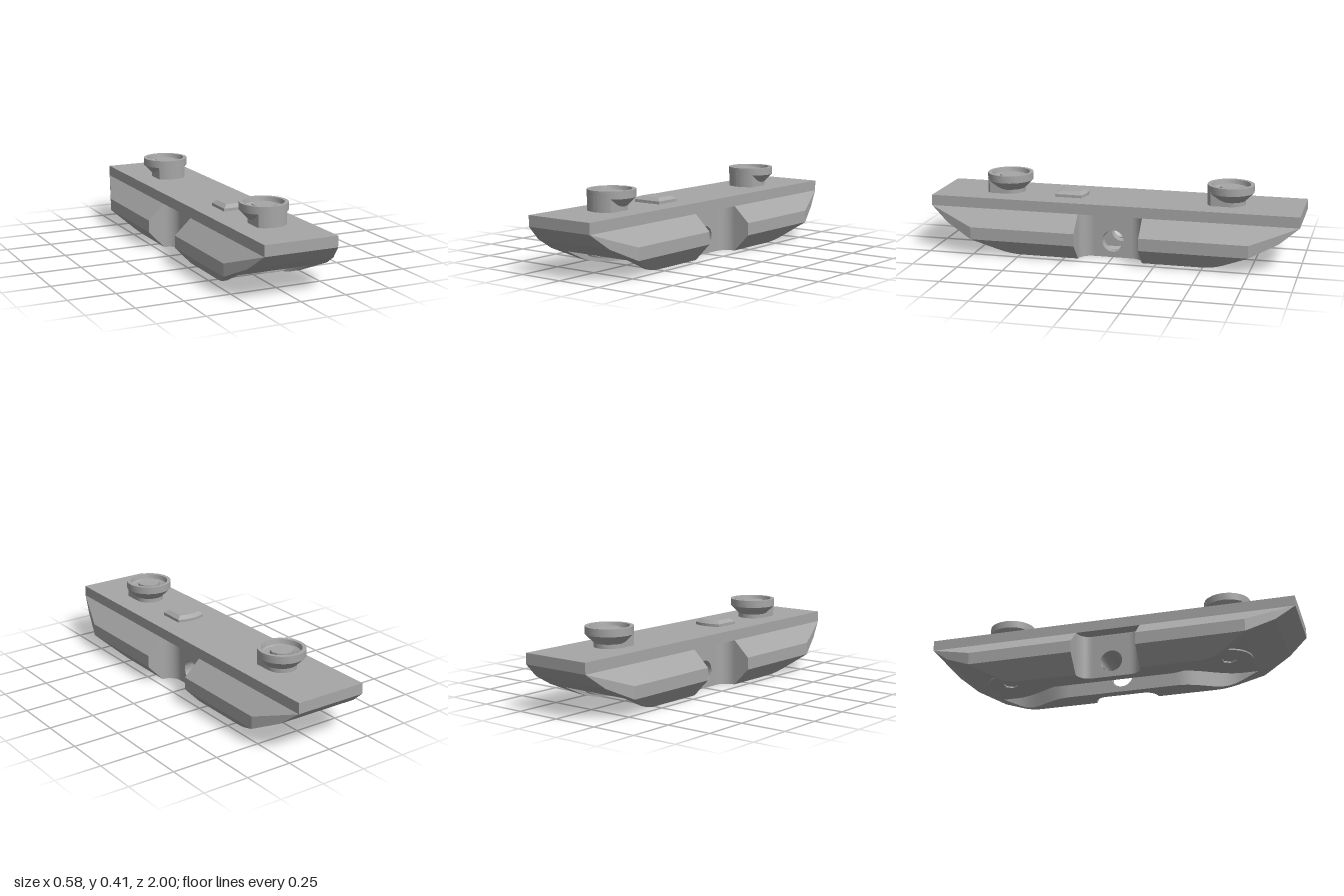
import * as THREE from 'three';
import { toCreasedNormals } from 'three/addons/utils/BufferGeometryUtils.js';

const grey = new THREE.MeshStandardMaterial({ color: 0xa6a6a6 });
grey.name = 'grey metal';

const CEIL = 0.083; // underside channel ceiling
const TOP = 0.303;  // top of the deck
const LEG = 0.13;   // outer face of the waist

function mesh(name, geometry, crease = 0.2) {
  const m = new THREE.Mesh(toCreasedNormals(geometry, crease), grey);
  m.name = name;
  return m;
}

// Height of the underside, rising towards the end
function bottomAt(z) {
  if (z >= 0.9) return 0.165 + (z - 0.9) * 0.8;
  if (z >= 0.62) return 0.165 - (0.9 - z) * 0.48;
  return z > 0.4925 ? 0.48 * (z - 0.4925) ** 2 / 0.255 : 0;
}

// Half width of the wavy channel
function channelAt(z) {
  const t = THREE.MathUtils.clamp((z - 0.3) / 0.35, 0, 1);
  return 0.08 + 0.12 * (0.5 - 0.5 * Math.cos(Math.PI * t));
}

// Closed cross-section at z, limited to half width `limit`
function section(z, limit) {
  const t = Math.min(limit, 0.29, 0.2 + (1 - z) * 0.36);
  const b = bottomAt(z);
  const c = Math.max(b, CEIL);
  const w = channelAt(z);
  const over = Math.max(0, t - 0.2);
  const half = [
    [w, c], [w, b],
    [Math.min(0.2 + b * 0.968, t), b],
    [t, Math.max(b, over * 1.033)],
    [t, 0.245 - over * 0.944],
    [Math.min(0.2, t), 0.245],
  ];
  const mirrored = half.map(([x, y]) => [-x, y]).reverse();
  return [...half, ...mirrored].map(([x, y]) => new THREE.Vector3(x, y, z));
}

// Skin between successive cross-sections, leaving out collapsed faces
function loft(rings) {
  const points = [];
  const tri = new THREE.Triangle();
  const add = (a, b, c) => {
    if (tri.set(a, b, c).getArea() > 1e-8) points.push(a, b, c);
  };
  for (let r = 0; r < rings.length - 1; r++) {
    const p = rings[r], q = rings[r + 1], n = p.length;
    for (let i = 0; i < n; i++) {
      const j = (i + 1) % n;
      add(p[i], p[j], q[j]);
      add(p[i], q[j], q[i]);
    }
  }
  return new THREE.BufferGeometry().setFromPoints(points);
}

function endBlockGeometry() {
  const rings = [];
  // Rounded corner of the side notch
  for (let i = 0; i <= 10; i++) {
    const a = (i / 10) * Math.PI / 2;
    rings.push(section(0.105 + 0.07 * Math.sin(a), LEG + 0.07 * (1 - Math.cos(a))));
  }
  // Full-width block, then the tapering nose
  const stops = [0.175, 0.3];
  for (let i = 1; i <= 18; i++) stops.push(0.3 + 0.35 * i / 18);
  stops.push(0.7, 0.7292, 0.75, 0.9, 1);
  stops.forEach((z) => rings.push(section(z, 1)));
  return loft(rings);
}

// Extrude a (z, y) outline along x, centred at x
function acrossX(shape, width, x) {
  const g = new THREE.ExtrudeGeometry(shape, { depth: width, bevelEnabled: false, curveSegments: 24 });
  return g.translate(0, 0, -width / 2).rotateY(Math.PI / 2).translate(x, 0, 0);
}

function createWaist() {
  const waist = new THREE.Group();
  waist.name = 'waist';
  // Two cheeks with a cross hole
  const cheek = new THREE.Shape();
  cheek.moveTo(-0.105, 0).lineTo(0.105, 0).lineTo(0.105, 0.245).lineTo(-0.105, 0.245);
  cheek.holes.push(new THREE.Path().absarc(0, 0.09, 0.06, 0, Math.PI * 2, true));
  for (const s of [1, -1]) {
    waist.add(mesh('cheek', acrossX(cheek, LEG - 0.08, s * (LEG + 0.08) / 2), 0.4));
  }
  // Bridge over the channel, arched where the hole passes
  const bridge = new THREE.Shape();
  bridge.moveTo(-0.105, CEIL).lineTo(-0.06, CEIL);
  bridge.absarc(0, 0.09, 0.06, Math.PI, 0, true);
  bridge.lineTo(0.06, CEIL).lineTo(0.105, CEIL).lineTo(0.105, 0.245).lineTo(-0.105, 0.245);
  waist.add(mesh('bridge', acrossX(bridge, 0.16, 0), 0.4));
  return waist;
}

function createFastener() {
  const fastener = new THREE.Group();
  fastener.name = 'fastener';
  // Flared nut with a countersunk cup
  const profile = [
    [0.08, TOP - 0.003], [0.08, 0.325], [0.125, 0.37], [0.125, 0.41],
    [0.105, 0.41], [0.1, 0.385], [0.06, 0.36], [0, 0.36],
  ].map(([x, y]) => new THREE.Vector2(x, y));
  fastener.add(mesh('nut', new THREE.LatheGeometry(profile, 24), 0.4));

  // Screw end in the cup
  const stud = mesh('screwEnd', new THREE.CylinderGeometry(0.06, 0.06, 0.05, 12), 0.4);
  stud.position.y = 0.373;
  fastener.add(stud);

  // Solid lug under the front of the flange
  const a = Math.acos(0.08 / 0.125);
  const lugShape = new THREE.Shape();
  lugShape.moveTo(-0.08, 0).lineTo(0.08, 0);
  lugShape.absarc(0, 0, 0.1249, a, Math.PI - a, false);
  const lugGeo = new THREE.ExtrudeGeometry(lugShape, { depth: 0.08, bevelEnabled: false, curveSegments: 12 });
  const lug = mesh('lug', lugGeo.rotateX(Math.PI / 2), 0.4);
  lug.position.y = 0.38;
  fastener.add(lug);

  // Screw head with hex socket in the channel
  const disc = new THREE.Shape().absarc(0, 0, 0.125, 0, Math.PI * 2, false);
  const hex = new THREE.Path();
  for (let i = 0; i < 6; i++) {
    const t = -i * Math.PI / 3;
    const x = 0.04 * Math.cos(t), y = 0.04 * Math.sin(t);
    if (i) hex.lineTo(x, y); else hex.moveTo(x, y);
  }
  hex.closePath();
  disc.holes.push(hex);
  const headGeo = new THREE.ExtrudeGeometry(disc, { depth: 0.008, bevelEnabled: false, curveSegments: 16 });
  const head = mesh('screwHead', headGeo.rotateX(Math.PI / 2), 0.4);
  head.position.y = CEIL;
  fastener.add(head);
  return fastener;
}

// Chamfered locating pad with a bowed rear edge
function createPad() {
  const shape = new THREE.Shape();
  shape.moveTo(-0.06, -0.312).lineTo(0.06, -0.312).lineTo(0.06, -0.205);
  shape.quadraticCurveTo(0, -0.182, -0.06, -0.205);
  const g = new THREE.ExtrudeGeometry(shape, {
    depth: 0.03, bevelEnabled: true, bevelSize: 0.022, bevelThickness: 0.017, bevelSegments: 1, curveSegments: 8,
  });
  const pad = mesh('locatingPad', g.rotateX(-Math.PI / 2), 0.3);
  pad.position.y = 0.335 - 0.047;
  return pad;
}

export function createModel() {
  const model = new THREE.Group();
  model.name = 'railMount';

  const deck = mesh('deck', new THREE.BoxGeometry(0.4, TOP - 0.245, 2));
  deck.position.y = (TOP + 0.245) / 2;
  model.add(deck, createWaist(), createPad());

  for (const s of [1, -1]) {
    const block = mesh(s > 0 ? 'frontBlock' : 'rearBlock', endBlockGeometry());
    if (s < 0) block.rotation.y = Math.PI;
    const fastener = createFastener();
    fastener.position.z = s * 0.612;
    model.add(block, fastener);
  }
  return model;
}
